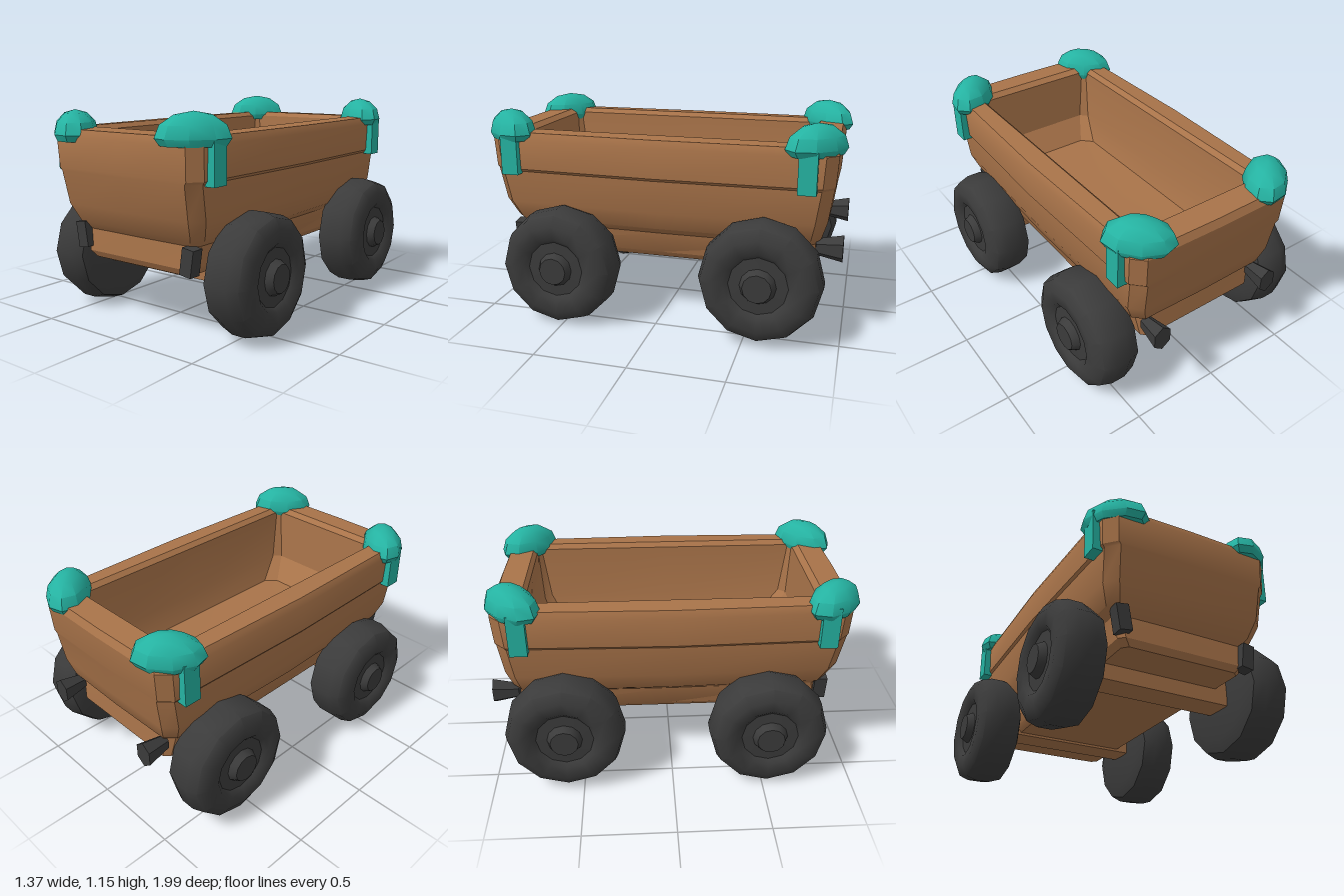
import * as THREE from 'three';
import { toCreasedNormals } from 'three/addons/utils/BufferGeometryUtils.js';

const mat = (name, color) => Object.assign(new THREE.MeshStandardMaterial({ color }), { name });

// One level of the tub: a rectangle with cut corners and gently bulging sides.
function ring([y, hx, back, front, cut, bulge = 0.02]) {
  const mid = (back + front) / 2;
  return [
    [hx + bulge, mid], [hx, front - cut], [hx - cut, front], [0, front + bulge * 0.3],
    [-hx + cut, front], [-hx, front - cut], [-hx - bulge, mid], [-hx, back + cut],
    [-hx + cut, back], [0, back - bulge * 0.3], [hx - cut, back], [hx, back + cut],
  ].map(([x, z]) => [x, y, z]);
}

// Skin a list of levels into one surface.
function loft(levels, crease) {
  const rings = levels.map(ring);
  const n = rings[0].length;
  const index = [];
  for (let i = 0; i < rings.length - 1; i++) {
    for (let j = 0; j < n; j++) {
      const a = i * n + j, b = i * n + (j + 1) % n;
      index.push(a, a + n, b, b, a + n, b + n);
    }
  }
  const geo = new THREE.BufferGeometry();
  geo.setAttribute('position', new THREE.Float32BufferAttribute(rings.flat(2), 3));
  geo.setIndex(index);
  return toCreasedNormals(geo, crease);
}

export function createModel() {
  const wood = mat('brown wood', 0xa87349);
  const rubber = mat('dark rubber', 0x3b3b3b);
  const teal = mat('teal corner', 0x25b3a2);
  const root = new THREE.Group();
  root.name = 'wagon';

  const add = (name, geo, material, x = 0, y = 0, z = 0, parent = root) => {
    const mesh = new THREE.Mesh(geo, material);
    mesh.name = name;
    mesh.position.set(x, y, z);
    parent.add(mesh);
    return mesh;
  };

  // Tub: underside, outer wall with side seam, rim, inner wall, floor
  add('tub', loft([
    [0.345, 0, 0, 0, 0, 0],
    [0.345, 0.34, -0.82, 0.82, 0.03, 0],
    [0.38, 0.37, -0.85, 0.84, 0.03, 0],
    [0.50, 0.39, -0.84, 0.83, 0.04, 0.01],
    [0.54, 0.43, -0.87, 0.86, 0.05],
    [0.64, 0.47, -0.90, 0.91, 0.06],
    [0.82, 0.48, -0.925, 0.945, 0.06],
    [0.835, 0.492, -0.93, 0.948, 0.06],
    [1.0, 0.498, -0.94, 0.957, 0.06],
    [1.04, 0.48, -0.92, 0.94, 0.06],
    [1.045, 0.39, -0.79, 0.81, 0.02, 0],
    [1.02, 0.365, -0.77, 0.78, 0.02, 0],
    [0.72, 0.35, -0.75, 0.76, 0.04, 0],
    [0.59, 0.31, -0.70, 0.66, 0.06, 0],
    [0.57, 0, 0, 0, 0, 0],
  ], 0.5), wood);

  // Axle beams
  add('frontAxle', new THREE.BoxGeometry(0.84, 0.14, 0.16), wood, 0, 0.33, 0.53);
  add('rearAxle', new THREE.BoxGeometry(0.84, 0.1, 0.16), wood, 0, 0.38, -0.58);

  // Wheel: chunky tyre, dished face and raised hub, turned about its axle
  const profile = [
    [0, 0.42], [0.23, 0.405], [0.3, 0.43], [0.325, 0.5], [0.325, 0.58], [0.305, 0.64],
    [0.25, 0.67], [0.18, 0.665], [0.155, 0.642], [0.095, 0.645], [0.075, 0.685], [0, 0.685],
  ].map(([r, h]) => new THREE.Vector2(r, h));
  const wheelGeo = toCreasedNormals(new THREE.LatheGeometry(profile, 12), 0.75);
  wheelGeo.rotateZ(-Math.PI / 2);

  // Corner cap: a low dome with a flat underside
  const capGeo = new THREE.SphereGeometry(1, 9, 6);
  const p = capGeo.attributes.position;
  for (let i = 0; i < p.count; i++) p.setY(i, Math.max(p.getY(i), -0.28));
  capGeo.scale(0.185, 0.125, 0.118);
  const cap = toCreasedNormals(capGeo, 0.7);

  for (const side of [1, -1]) {
    for (const end of [1, -1]) {
      const label = (end > 0 ? 'front' : 'rear') + (side > 0 ? 'Left' : 'Right');

      const wheel = add(label + 'Wheel', wheelGeo, rubber, 0, end > 0 ? 0.325 : 0.35, end > 0 ? 0.525 : -0.585);
      if (side < 0) wheel.rotation.y = Math.PI;

      // Cap wraps the corner diagonally, with a strap down the side wall
      const corner = new THREE.Group();
      corner.name = label + 'Corner';
      root.add(corner);
      const low = side < 0 && end > 0;
      const dome = add('cornerCap', cap, teal, side * 0.405, low ? 1.01 : 1.03, end > 0 ? 0.855 : -0.825, corner);
      dome.rotation.y = side * end * Math.PI / 4;
      add('cornerStrap', new THREE.BoxGeometry(0.065, 0.23, 0.095), teal,
        side * 0.502, 0.925, end > 0 ? 0.82 : -0.795, corner);

      // Small dark brackets: flat in front, stubby knobs behind
      if (end > 0) {
        add(label + 'Bracket', new THREE.BoxGeometry(0.07, 0.14, 0.07), rubber,
          side * 0.365, side > 0 ? 0.43 : 0.47, 0.84).rotation.z = -side * 0.15;
      } else {
        const knob = new THREE.CylinderGeometry(0.075, 0.045, 0.14, 6);
        knob.rotateX(-Math.PI / 2);
        knob.scale(0.75, 1, 1);
        add(label + 'Bracket', toCreasedNormals(knob, 0.3), rubber, side * 0.36, 0.49, -0.915);
      }
    }
  }
  return root;
}
